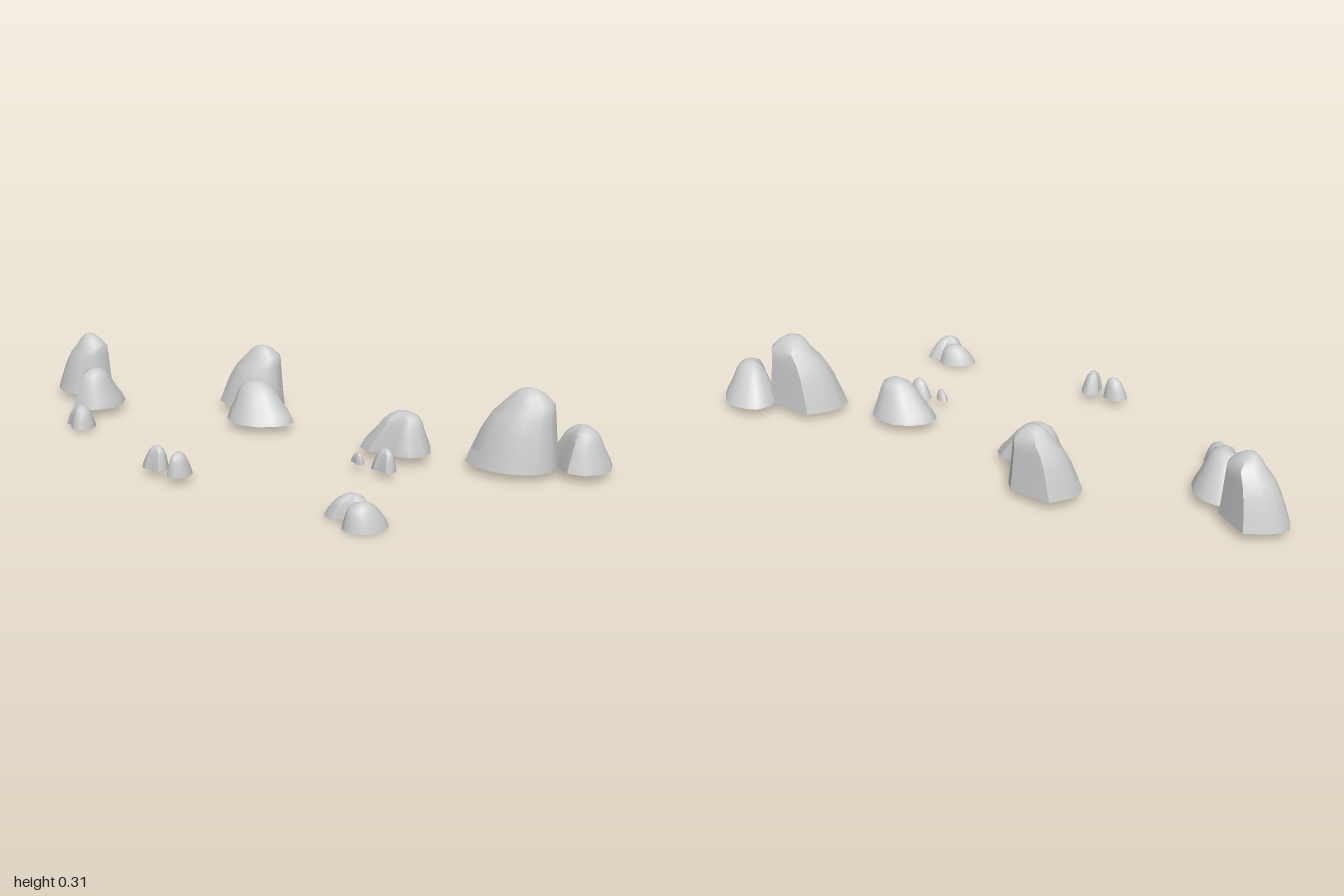
import * as THREE from 'three';
import { toCreasedNormals } from 'three/addons/utils/BufferGeometryUtils.js';

const material = new THREE.MeshStandardMaterial({ color: 0xcccccc, side: THREE.DoubleSide });

// Footprints as [x, z] corners within a unit square
const flatSided = [[-.39, -.96], [.25, -1], [.64, -.43], [1, .18], [.89, .64], [.5, .93], [.07, 1],
  [-.39, .79], [-.75, .43], [-.96, 0], [-1, -.54], [-.75, -.82]];
const bean = [[-.41, -1.05], [.09, -1], [.55, -.73], [.91, -.23], [1, .32], [.77, .82], [.41, 1.05],
  [-.09, 1], [-.36, .68], [-.55, .23], [-.95, -.05], [-1, -.59], [-.77, -.95]];

// Each level: height fraction, footprint scale, shift x, shift z
const kinds = {
  tallRock: { outline: flatSided, levels: [[0, 1, 0, 0], [.18, .92, .04, .02], [.45, .8, .12, .05],
    [.65, .68, .21, .09], [.8, .54, .33, .14], [.91, .36, .3, .18], [.97, .2, .27, .2], [1, 0, .26, .2]] },
  lowRock: { outline: bean, levels: [[0, 1, 0, 0], [.2, .9, .02, .04], [.45, .72, .06, .13],
    [.7, .57, .1, .2], [.86, .43, .13, .24], [.96, .23, .13, .22], [1, 0, .12, .2]] },
  pebble: { outline: bean, levels: [[0, 1, 0, 0], [.25, .9, .02, .04], [.55, .74, .06, .1],
    [.8, .55, .1, .16], [.94, .3, .1, .16], [1, 0, .1, .15]] },
};

// Open-bottomed rock lofted from shrinking rings, fitted to its bounds on the ground
function makeRock(kind, turn, x0, x1, z0, z1, y0, y1) {
  const { outline, levels } = kinds[kind];
  const a = THREE.MathUtils.degToRad(turn), c = Math.cos(a), s = Math.sin(a);
  const spin = ([x, z]) => new THREE.Vector2(x * c - z * s, x * s + z * c);
  const base = new THREE.Box2().setFromPoints(outline.map(spin));
  const size = base.getSize(new THREE.Vector2());
  const positions = [], index = [], n = outline.length;

  levels.forEach(([h, scale, dx, dz], k) => {
    outline.forEach(([x, z], i) => {
      const p = spin([x * scale + dx, z * scale + dz]).sub(base.min).divide(size);
      positions.push(x0 + p.x * (x1 - x0), y0 + h * (y1 - y0), z0 + p.y * (z1 - z0));
      if (k === levels.length - 1) return;
      const j = (i + 1) % n, lo = k * n, hi = lo + n;
      index.push(lo + i, hi + i, lo + j);
      if (k < levels.length - 2) index.push(lo + j, hi + i, hi + j);
    });
  });

  const geometry = new THREE.BufferGeometry();
  geometry.setAttribute('position', new THREE.Float32BufferAttribute(positions, 3));
  geometry.setIndex(index);
  const mesh = new THREE.Mesh(toCreasedNormals(geometry, 0.75), material);
  mesh.name = kind;
  return mesh;
}

export function createModel() {
  const group = new THREE.Group();
  group.name = 'rockScatter';
  // kind, turn in degrees, x range, z range, y range
  const rocks = [
    // back left pair and its pebble
    ['tallRock', 30, -.79, -.585, -1, -.76, .03, .27],
    ['lowRock', 57, -.79, -.57, -.78, -.53, .03, .18],
    ['pebble', 35, -.84, -.74, -.52, -.36, .005, .09],
    // middle pair
    ['tallRock', 0, -.215, .025, -.55, -.31, .03, .27],
    ['lowRock', 196, -.265, -.025, -.32, -.07, .03, .18],
    // two pebbles at the side
    ['pebble', 0, -.705, -.62, .175, .27, .025, .11],
    ['pebble', 75, -.65, -.555, .265, .36, .025, .11],
    // rock with two pebbles
    ['lowRock', 0, .085, .317, .21, .455, .03, .18],
    ['pebble', 30, -.008, .03, .39, .46, .03, .07],
    ['pebble', 10, .04, .115, .455, .55, .02, .1],
    // largest pair
    ['tallRock', 0, .375, .67, .46, .755, .025, .305],
    ['lowRock', 43, .635, .84, .565, .84, .03, .18],
    // front pebbles
    ['pebble', -10, -.265, -.12, .78, .905, .005, .085],
    ['pebble', 125, -.25, -.095, .895, 1, 0, .09],
  ];
  for (const rock of rocks) group.add(makeRock(...rock));
  return group;
}
